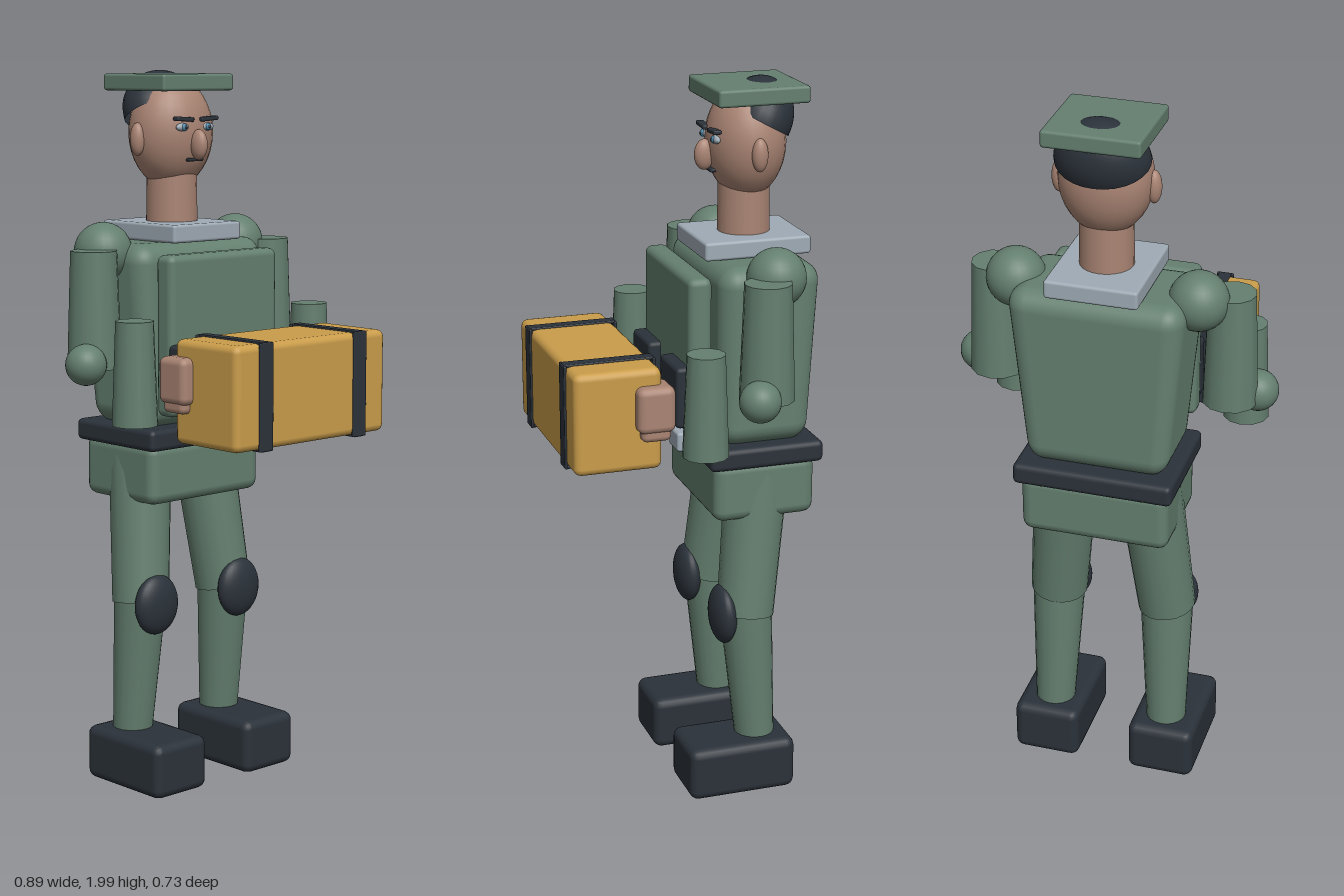
import * as THREE from 'three';
import { RoundedBoxGeometry } from 'three/addons/geometries/RoundedBoxGeometry.js';

const mat = (name, color, side = THREE.FrontSide) => {
  const m = new THREE.MeshStandardMaterial({ color, side });
  m.name = name;
  return m;
};

export function createModel() {
  const model = new THREE.Group();
  model.name = 'courier';
  const green = mat('uniform green', 0x647f6f);
  const dark = mat('dark gear', 0x2b323a, THREE.DoubleSide);
  const skin = mat('skin', 0xa98473);
  const yellow = mat('parcel yellow', 0xca9d4b);
  const grey = mat('light grey', 0x9fabb5);
  const blue = mat('eye blue', 0x4a86a8);

  const add = (name, geo, material, x, y, z) => {
    const m = new THREE.Mesh(geo, material);
    m.name = name;
    m.position.set(x, y, z);
    model.add(m);
    return m;
  };
  const box = (name, material, x, y, z, w, h, d, r = 0.015) =>
    add(name, new RoundedBoxGeometry(w, h, d, 2, r), material, x, y, z);
  const ball = (name, material, x, y, z, rx, ry = rx, rz = rx) => {
    const m = add(name, new THREE.SphereGeometry(1, 28, 18), material, x, y, z);
    m.scale.set(rx, ry, rz);
    return m;
  };
  // Tapered limb running from point a (top) to point b (bottom)
  const limb = (name, material, a, b, rTop, rBottom, sides = 20) => {
    const top = new THREE.Vector3(...a), bottom = new THREE.Vector3(...b);
    const axis = top.clone().sub(bottom);
    const c = top.clone().add(bottom).multiplyScalar(0.5);
    const m = add(name, new THREE.CylinderGeometry(rTop, rBottom, axis.length(), sides), material, c.x, c.y, c.z);
    m.quaternion.setFromUnitVectors(new THREE.Vector3(0, 1, 0), axis.normalize());
    return m;
  };

  // Torso, narrowing toward the waist
  const torso = new RoundedBoxGeometry(0.48, 0.51, 0.285, 4, 0.055);
  const p = torso.attributes.position;
  for (let i = 0; i < p.count; i++) {
    const t = (0.255 - p.getY(i)) / 0.51;
    p.setX(i, p.getX(i) * (1 - 0.2 * t));
    p.setZ(i, p.getZ(i) * (1 - 0.1 * t));
  }
  add('torso', torso, green, 0, 1.275, -0.203);
  box('hips', green, 0, 0.895, -0.2, 0.41, 0.17, 0.29, 0.03);
  box('belt', dark, 0, 0.995, -0.2, 0.44, 0.06, 0.325);
  box('buckle', grey, 0, 0.997, -0.02, 0.08, 0.055, 0.04, 0.008);
  box('chestPlate', green, 0, 1.285, -0.013, 0.4, 0.44, 0.066, 0.02);

  // Neck and head
  box('collar', grey, 0, 1.555, -0.2, 0.25, 0.05, 0.3, 0.008);
  limb('neck', skin, [0, 1.72, -0.2], [0, 1.56, -0.2], 0.07, 0.072, 24);
  ball('head', skin, 0, 1.825, -0.203, 0.125, 0.155, 0.108);
  ball('nose', skin, 0, 1.793, -0.087, 0.02, 0.042, 0.028);
  box('mouth', dark, 0, 1.752, -0.106, 0.052, 0.009, 0.02, 0.003);
  const hair = add('hair', new THREE.SphereGeometry(1, 28, 12, 0, Math.PI * 2, 0, Math.PI / 2), dark, 0, 1.88, -0.23);
  hair.scale.set(0.126, 0.12, 0.095);
  hair.rotation.x = -0.5;
  box('capPlate', green, 0, 1.962, -0.212, 0.26, 0.046, 0.255, 0.008);

  // Mirrored parts
  for (const s of [1, -1]) {
    const side = s > 0 ? 'left' : 'right';

    // Face
    ball(side + 'Ear', skin, s * 0.125, 1.808, -0.2, 0.02, 0.045, 0.022);
    ball(side + 'Eye', grey, s * 0.046, 1.841, -0.104, 0.022, 0.011, 0.01);
    ball(side + 'Iris', blue, s * 0.044, 1.841, -0.097, 0.01, 0.01, 0.007);
    ball(side + 'Pupil', dark, s * 0.044, 1.841, -0.092, 0.005, 0.005, 0.004);
    const brow = box(side + 'Brow', dark, s * 0.045, 1.863, -0.099, 0.062, 0.012, 0.022, 0.004);
    brow.rotation.z = s * 0.06;

    // Arm
    ball(side + 'Shoulder', green, s * 0.247, 1.507, -0.205, 0.08);
    limb(side + 'UpperArm', green, [s * 0.323, 1.517, -0.154], [s * 0.323, 1.2, -0.154], 0.064, 0.075, 12);
    ball(side + 'Elbow', green, s * 0.388, 1.217, -0.112, 0.056);
    limb(side + 'Forearm', green, [s * 0.327, 1.342, 0.017], [s * 0.327, 1.062, 0.017], 0.052, 0.063, 12);
    box(side + 'Hand', skin, s * 0.265, 1.192, 0.143, 0.1, 0.126, 0.104, 0.02);
    box(side + 'Fingers', skin, s * 0.265, 1.15, 0.143, 0.085, 0.09, 0.08, 0.015);

    // Leg
    limb(side + 'Thigh', green, [s * 0.118, 0.93, -0.205], [s * 0.158, 0.52, -0.16], 0.088, 0.08);
    limb(side + 'Shin', green, [s * 0.158, 0.55, -0.16], [s * 0.167, 0.12, -0.19], 0.075, 0.055);
    ball(side + 'KneePad', dark, s * 0.157, 0.522, -0.094, 0.074, 0.085, 0.036);
    box(side + 'Boot', dark, s * 0.17, 0.078, -0.125, 0.19, 0.153, 0.31, 0.025);
    box(side + 'Pouch', dark, s * 0.124, 1.18, 0.03, 0.15, 0.17, 0.05, 0.012);

    // Parcel straps: wide on front and back, narrower on top and bottom
    for (const z of [0.118, 0.361]) box(side + 'StrapUpright', dark, s * 0.175, 1.16, z, 0.048, 0.286, 0.009, 0.003);
    for (const y of [1.02, 1.3]) box(side + 'StrapAcross', dark, s * 0.175, y, 0.24, 0.035, 0.009, 0.246, 0.003);
  }

  // Carried parcel
  box('parcel', yellow, 0, 1.16, 0.24, 0.56, 0.28, 0.24, 0.02);
  return model;
}
